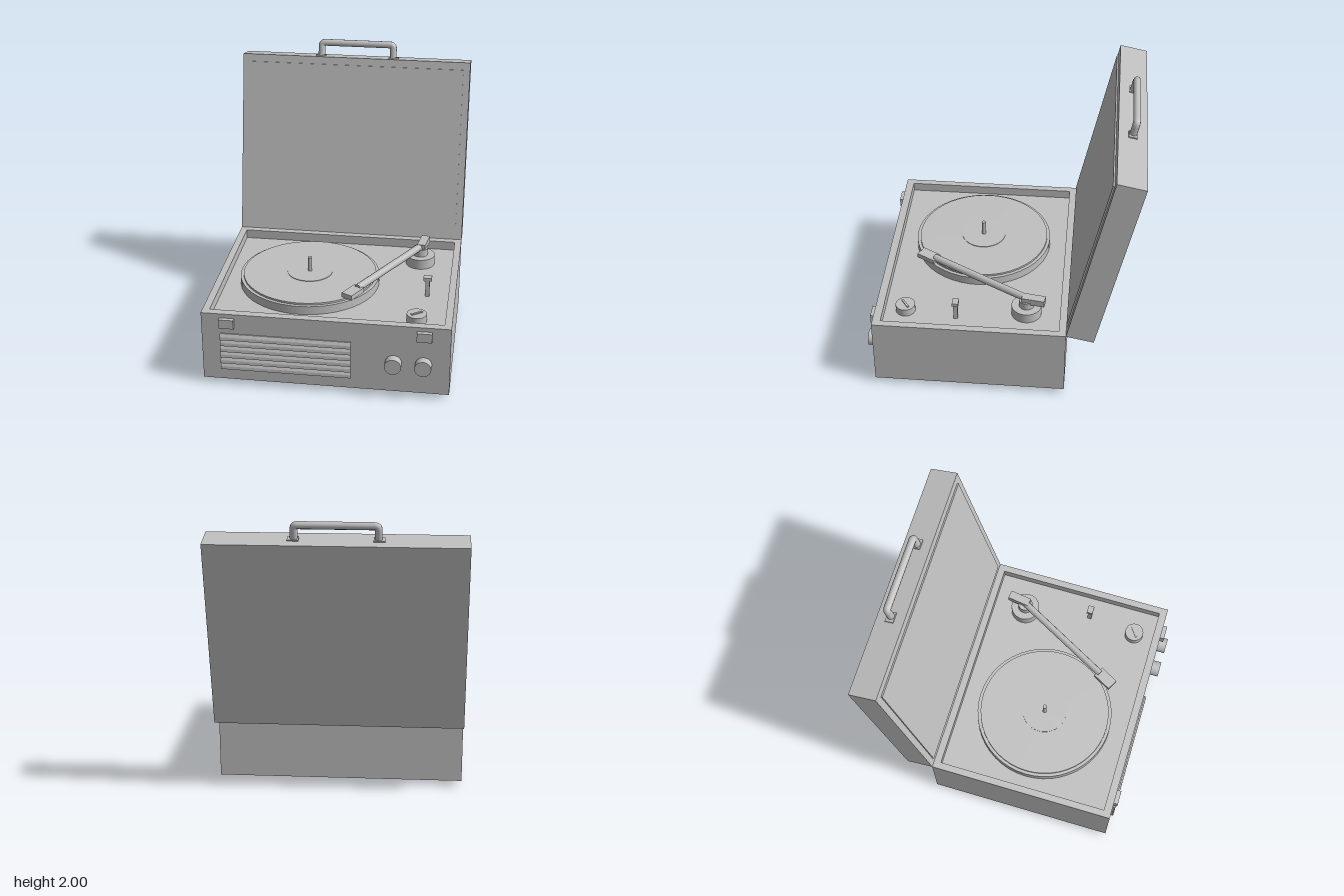
import * as THREE from 'three';

export function createModel() {
  const model = new THREE.Group();
  const grey = new THREE.MeshStandardMaterial({ color: 0xc0c0c0 });
  grey.name = 'plain grey';

  function add(parent, name, geometry, x = 0, y = 0, z = 0) {
    const mesh = new THREE.Mesh(geometry, grey);
    mesh.name = name;
    mesh.position.set(x, y, z);
    parent.add(mesh);
    return mesh;
  }
  const box = (w, h, d) => new THREE.BoxGeometry(w, h, d);
  const cyl = (r, h, n = 32) => new THREE.CylinderGeometry(r, r, h, n);
  // Upright cylinder given by its bottom and top heights
  const disc = (name, r, y0, y1, x, z, n) => add(model, name, cyl(r, y1 - y0, n), x, (y0 + y1) / 2, z);

  // Case: solid lower body plus a raised rim around the sunken deck
  const deckY = 0.495, topY = 0.562;
  add(model, 'caseBody', box(1.73, deckY - 0.042, 1.371), 0, (deckY + 0.042) / 2, 0.2095);
  const rect = (path, x0, z0, x1, z1) =>
    path.moveTo(x0, -z0).lineTo(x0, -z1).lineTo(x1, -z1).lineTo(x1, -z0).closePath();
  const rim = new THREE.Shape();
  rect(rim, -0.865, -0.476, 0.865, 0.895);
  const opening = new THREE.Path();
  rect(opening, -0.815, -0.425, 0.815, 0.838);
  rim.holes.push(opening);
  const rimGeometry = new THREE.ExtrudeGeometry(rim, { depth: topY - deckY, bevelEnabled: false });
  add(model, 'caseRim', rimGeometry.rotateX(-Math.PI / 2), 0, deckY, 0);

  // Feet
  for (const x of [-0.735, 0.735])
    for (const z of [0.76, -0.335]) disc('foot', 0.053, 0, 0.042, x, z, 24);

  // Platter, record and spindle
  const px = -0.21, pz = 0.205;
  disc('platter', 0.508, deckY, 0.558, px, pz, 48);
  disc('record', 0.485, 0.558, 0.572, px, pz, 48);
  disc('recordLabel', 0.165, 0.572, 0.576, px, pz, 32);
  disc('spindle', 0.015, 0.57, 0.685, px, pz, 12);

  // Tone arm
  const ax = 0.57, az = -0.18;
  disc('armBase', 0.108, deckY, 0.57, ax, az);
  disc('armPivot', 0.055, 0.57, 0.625, ax, az, 24);
  const arm = new THREE.Group();
  arm.name = 'toneArm';
  arm.position.set(ax, 0.633, az);
  arm.rotation.y = -0.503;
  model.add(arm);
  add(arm, 'armTube', cyl(0.027, 0.8, 8).rotateX(Math.PI / 2), 0, 0, 0.41);
  add(arm, 'armHead', box(0.085, 0.035, 0.15), 0, -0.01, 0.865);
  const weight = add(model, 'counterweight', box(0.062, 0.05, 0.165), 0.588, 0.635, -0.232);
  weight.rotation.y = -0.15;

  // Lever switch and dial on the deck
  add(model, 'switchStem', box(0.03, 0.13, 0.03), 0.66, deckY + 0.065, 0.32);
  add(model, 'switchCap', box(0.06, 0.025, 0.045), 0.66, 0.633, 0.32);
  disc('deckDial', 0.07, deckY, 0.552, 0.613, 0.69);
  const pointer = add(model, 'dialPointer', box(0.09, 0.008, 0.014), 0.613, 0.556, 0.69);
  pointer.rotation.y = 0.62;

  // Louvred grille, extruded sideways from a stepped profile
  const grille = new THREE.Shape();
  const slats = 6, pitch = 0.28 / slats;
  grille.moveTo(-0.89, 0.13);
  for (let i = 0; i < slats; i++) {
    const y = 0.13 + i * pitch;
    grille.lineTo(-0.915, y);
    grille.lineTo(-0.913, y + pitch * 0.5);
    grille.lineTo(-0.902, y + pitch);
  }
  grille.lineTo(-0.89, 0.41);
  const grilleGeometry = new THREE.ExtrudeGeometry(grille, { depth: 0.915, bevelEnabled: false });
  add(model, 'grille', grilleGeometry.rotateY(Math.PI / 2), -0.735, 0, 0);

  // Front knobs and latches
  for (const x of [0.475, 0.682])
    add(model, 'frontKnob', cyl(0.058, 0.062).rotateX(Math.PI / 2), x, 0.27, 0.926);
  for (const x of [-0.685, 0.685])
    add(model, 'latch', box(0.105, 0.068, 0.03), x, 0.497, 0.91);

  // Lid, tilted back about its hinge edge
  const lid = new THREE.Group();
  lid.name = 'lid';
  lid.position.set(0, topY, -0.476);
  lid.rotation.x = -0.208;
  model.add(lid);
  add(lid, 'lidShell', box(1.73, 1.367, 0.2), 0, 0.6835, -0.1);
  add(lid, 'lidPanel', box(1.63, 1.258, 0.02), 0, 0.682, 0.001);

  // Carrying handle on the lid's top edge
  const path = new THREE.CurvePath();
  const v = (x, y) => new THREE.Vector3(x, y, 0);
  path.add(new THREE.LineCurve3(v(-0.274, 0), v(-0.274, 0.075)));
  path.add(new THREE.QuadraticBezierCurve3(v(-0.274, 0.075), v(-0.274, 0.1), v(-0.249, 0.1)));
  path.add(new THREE.LineCurve3(v(-0.249, 0.1), v(0.249, 0.1)));
  path.add(new THREE.QuadraticBezierCurve3(v(0.249, 0.1), v(0.274, 0.1), v(0.274, 0.075)));
  path.add(new THREE.LineCurve3(v(0.274, 0.075), v(0.274, 0)));
  add(lid, 'handle', new THREE.TubeGeometry(path, 80, 0.026, 10), 0, 1.367, -0.1);
  for (const x of [-0.28, 0.28])
    add(lid, 'handlePlate', box(0.075, 0.009, 0.06), x, 1.3715, -0.1);

  return model;
}
